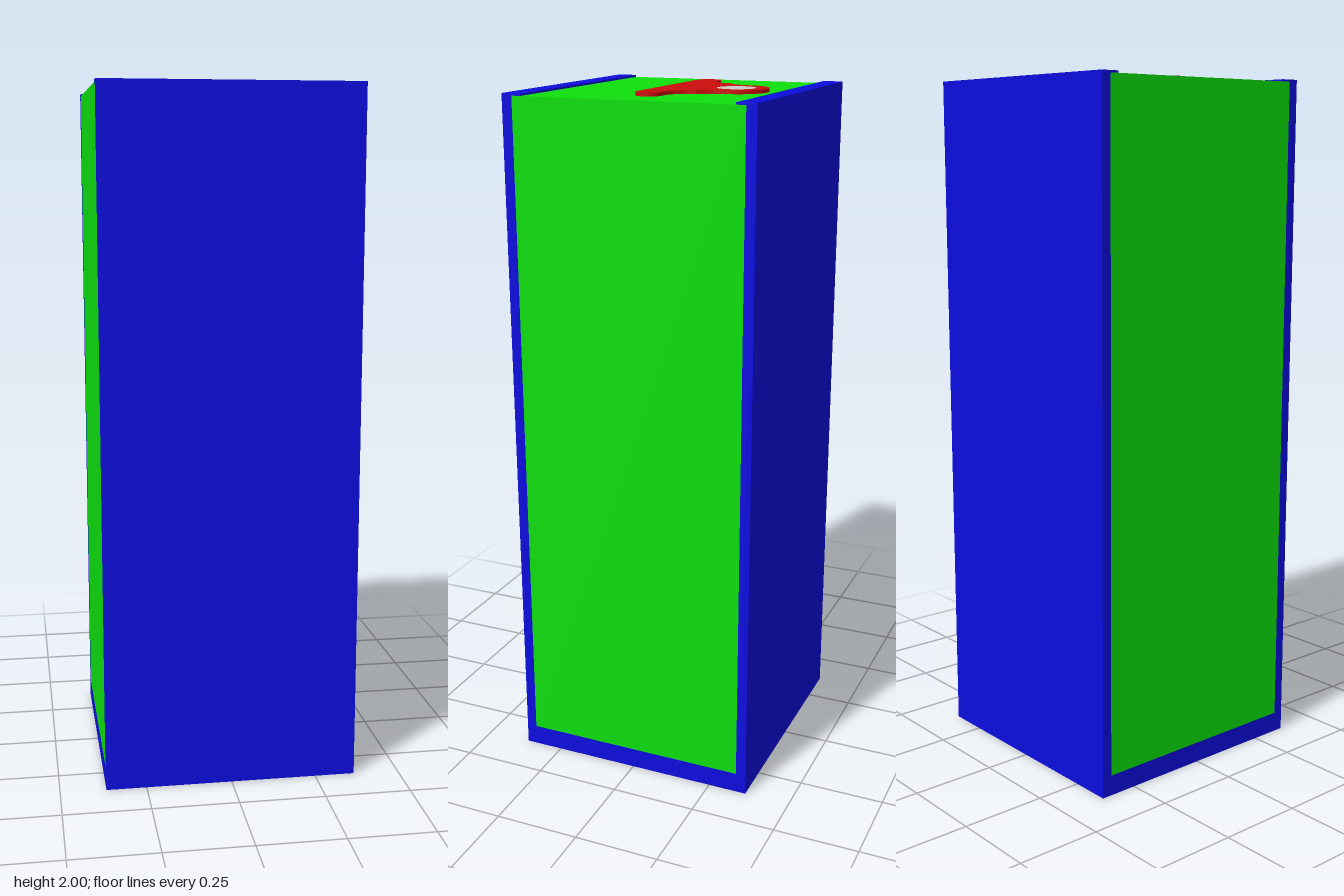
import * as THREE from 'three';

const HALF_X = 0.367;

function addPart(group, name, geometry, color) {
  const mesh = new THREE.Mesh(geometry, new THREE.MeshStandardMaterial({ color }));
  mesh.name = name;
  group.add(mesh);
  return mesh;
}

// U-shaped cover with small inward lips at the top, extruded along x
function coverGeometry() {
  const half = [[0.365, 0], [0.365, 1.996], [0.308, 1.996], [0.308, 1.99], [0.335, 1.99], [0.335, 0.06]];
  const mirrored = half.map(([z, y]) => [-z, y]).reverse();
  const shape = new THREE.Shape([...half, ...mirrored].map(([z, y]) => new THREE.Vector2(z, y)));
  return new THREE.ExtrudeGeometry(shape, { depth: 2 * HALF_X, bevelEnabled: false })
    .translate(0, 0, -HALF_X)
    .rotateY(-Math.PI / 2);
}

// Hanger plate: rounded bar with shoulders rising to a ring around the hole
const HOLE = { x: 0.007, y: 0.172, r: 0.055 };
const PLATE_DEPTH = 0.01;

function plateGeometry() {
  const r = 0.037, ringR = 0.091, k = 0.034;
  const s = new THREE.Shape();
  s.moveTo(-0.213, -r);
  s.lineTo(0.213, -r);
  s.absarc(0.213, 0, r, -Math.PI / 2, Math.PI / 2, false);
  s.lineTo(0.19, r);
  s.bezierCurveTo(0.19 - k, r, 0.129, 0.102 - k, 0.129, 0.102);
  s.quadraticCurveTo(0.102, 0.122, HOLE.x + ringR, HOLE.y);
  s.absarc(HOLE.x, HOLE.y, ringR, 0, Math.PI, false);
  s.quadraticCurveTo(-0.09, 0.122, -0.129, 0.102);
  s.bezierCurveTo(-0.129, 0.102 - k, -0.19 + k, r, -0.19, r);
  s.lineTo(-0.213, r);
  s.absarc(-0.213, 0, r, Math.PI / 2, Math.PI * 1.5, false);
  const hole = new THREE.Path();
  hole.absarc(HOLE.x, HOLE.y, HOLE.r, 0, Math.PI * 2, true);
  s.holes.push(hole);
  return new THREE.ExtrudeGeometry(s, { depth: PLATE_DEPTH, bevelEnabled: false, curveSegments: 24 })
    .rotateX(-Math.PI / 2);
}

export function createModel() {
  const group = new THREE.Group();
  group.name = 'coveredBlock';

  addPart(group, 'outerCover', coverGeometry(), 0x0d0de0);

  // Inner block filling the cover
  const core = addPart(group, 'innerBlock', new THREE.BoxGeometry(2 * HALF_X, 1.93, 0.67), 0x0de00d);
  core.position.y = 0.06 + 1.93 / 2;

  // Hanger plate and the disc filling its hole
  const plate = addPart(group, 'hangerPlate', plateGeometry(), 0xcc0d0d);
  plate.position.y = 2 - PLATE_DEPTH;
  const disc = addPart(group, 'holeDisc', new THREE.CylinderGeometry(HOLE.r, HOLE.r, PLATE_DEPTH, 48), 0xcccccc);
  disc.position.set(HOLE.x, 2 - PLATE_DEPTH / 2, -HOLE.y);

  return group;
}
